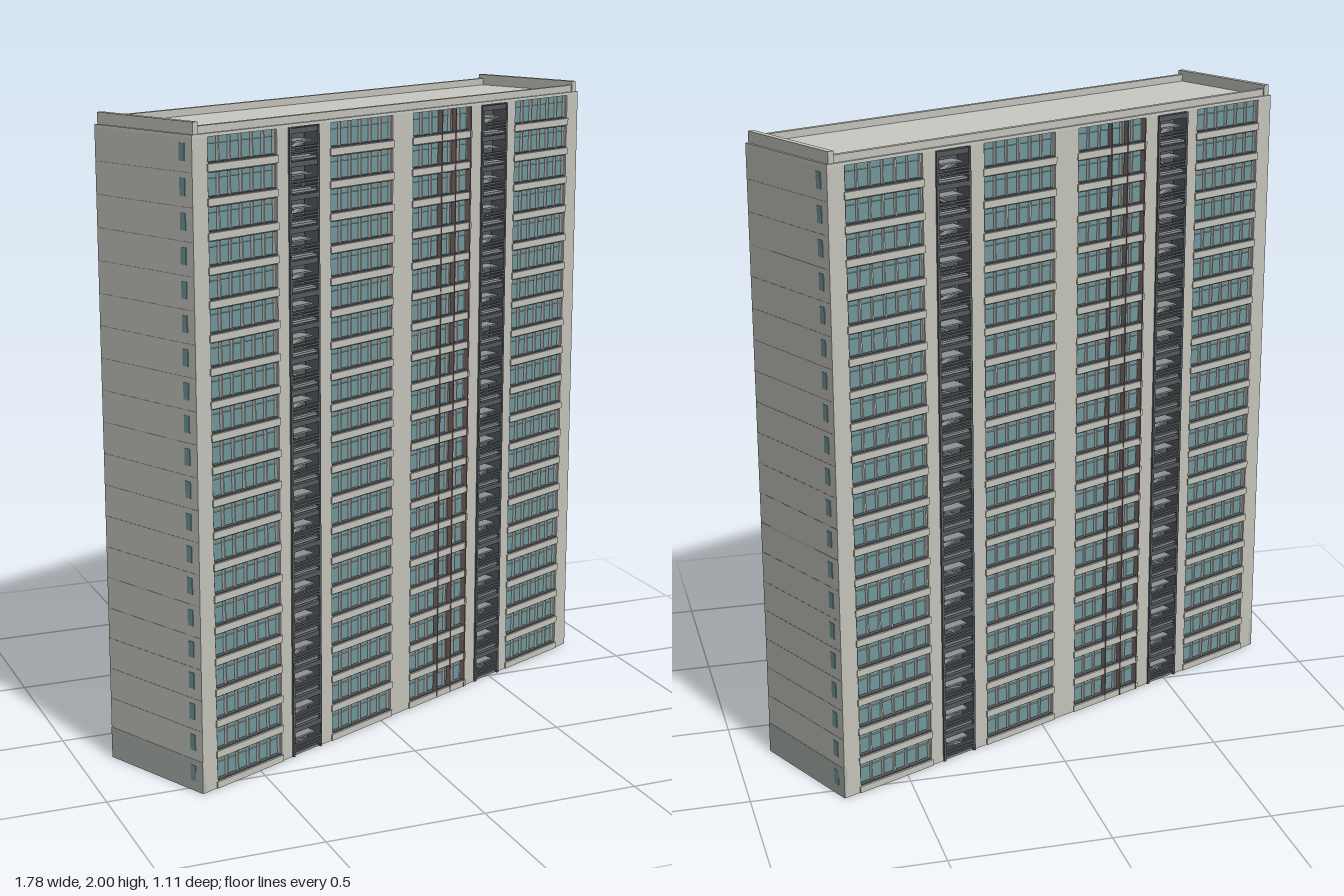
import * as THREE from 'three';
import { mergeGeometries } from 'three/addons/utils/BufferGeometryUtils.js';

const L = 0.884, D = 0.206, TOP = 1.965, FLOORS = 20, PITCH = 0.0978;

const mat = (name, color) => {
  const m = new THREE.MeshStandardMaterial({ color });
  m.name = name;
  return m;
};

// Box given by its lower and upper limits on each axis
function block(x0, x1, y0, y1, z0, z1) {
  return new THREE.BoxGeometry(x1 - x0, y1 - y0, z1 - z0)
    .translate((x0 + x1) / 2, (y0 + y1) / 2, (z0 + z1) / 2);
}

export function createModel() {
  const concrete = mat('concrete', 0xc3c3bb);
  const roofGrey = mat('roof grey', 0xc8c9c3);
  const plinthGrey = mat('plinth grey', 0xaab0ac);
  const glass = mat('blue green glass', 0x71969a);
  const charcoal = mat('charcoal', 0x54595d);
  const midGrey = mat('stair grey', 0x8f9293);
  const frameWhite = mat('window frame', 0xc9d0ce);
  const brown = mat('brown pipe', 0x7c6a66);

  const model = new THREE.Group();
  model.name = 'towerBlock';
  const building = new THREE.Group();
  building.name = 'building';
  building.rotation.y = Math.atan2(0.74, 1.61);
  model.add(building);

  const add = (parent, name, parts, material) => {
    const mesh = new THREE.Mesh(mergeGeometries(parts), material);
    mesh.name = name;
    parent.add(mesh);
  };

  // Core and roof
  add(building, 'core', [block(-L + 0.01, L - 0.01, 0, TOP - 0.01, -D + 0.055, D - 0.055)], charcoal);
  add(building, 'roof', [block(-L, L, TOP - 0.01, TOP, -D, D)], roofGrey);

  // Parapet: low along the sides, raised at both ends
  const rim = [];
  for (const s of [-1, 1]) {
    rim.push(block(-L + 0.01, L - 0.01, TOP, 1.987, s * (D - 0.016) - 0.008, s * (D - 0.016) + 0.008));
    rim.push(block(s * (L - 0.018) - 0.01, s * (L - 0.018) + 0.01, TOP, 2, -D + 0.004, D - 0.004));
  }
  add(building, 'parapet', rim, concrete);

  const glassBays = [[-0.824, -0.55], [-0.323, -0.047], [0.047, 0.325], [0.55, 0.826]];
  const stairBays = [[-0.504, -0.377], [0.377, 0.504]];

  // One half of the building: a long facade and one end wall, repeated by a half turn
  function half(name, turn) {
    const g = new THREE.Group();
    g.name = name;
    g.rotation.y = turn;
    building.add(g);

    // Piers between the bays
    const edges = [-L, -0.824, -0.55, -0.504, -0.377, -0.323, -0.047, 0.047, 0.325, 0.377, 0.504, 0.55, 0.826, L];
    const piers = [];
    for (let i = 0; i < edges.length; i += 2)
      piers.push(block(edges[i], edges[i + 1], 0, TOP - 0.01, D - 0.056, D));
    add(g, 'piers', piers, concrete);

    // Glazed bays with frames and spandrel bands
    const panes = [], frames = [], bands = [], sills = [];
    for (const [a, b] of glassBays) {
      panes.push(block(a, b, 0, TOP - 0.01, D - 0.056, D - 0.016));
      for (let i = 0; i <= 6; i++) {
        const x = a + 0.003 + (b - a - 0.006) * i / 6;
        frames.push(block(x - 0.002, x + 0.002, 0, TOP - 0.01, D - 0.016, D - 0.005));
      }
      for (let f = 0; f < FLOORS; f++) {
        const y = 0.01 + f * PITCH;
        bands.push(block(a - 0.004, b + 0.004, Math.max(0, y - 0.011), y + 0.011, D - 0.02, D + 0.004));
        sills.push(block(a, b, y + 0.011, y + 0.015, D - 0.018, D - 0.002));
        if (f) sills.push(block(a, b, y - 0.015, y - 0.011, D - 0.018, D - 0.002));
        frames.push(block(a, b, y + 0.064, y + 0.066, D - 0.016, D - 0.012));
      }
    }
    add(g, 'glazing', panes, glass);
    add(g, 'windowFrames', frames, frameWhite);
    add(g, 'spandrels', bands, concrete);
    add(g, 'sills', sills, charcoal);

    // Downpipes on the third bay
    add(g, 'downpipes', [0.18, 0.247, 0.32].map(x =>
      block(x - 0.002, x + 0.002, 0, TOP - 0.01, D - 0.012, D + 0.006)), brown);

    // Open stair bays: landings, sloping flights, dark rails and posts
    const rails = [], slabs = [];
    for (const [a, b] of stairBays) {
      const m = (a + b) / 2;
      for (const x of [a + 0.004, b - 0.004])
        rails.push(block(x - 0.004, x + 0.004, 0, TOP - 0.01, D - 0.05, D + 0.006));
      for (let f = 0; f < FLOORS; f++) {
        const y = f * PITCH;
        slabs.push(block(a + 0.006, b - 0.006, y, y + 0.007, D - 0.055, D - 0.002));
        slabs.push(block(a + 0.022, b - 0.022, y + 0.05, y + 0.055, D - 0.055, D - 0.006));
        const flight = new THREE.BoxGeometry(0.1, 0.006, 0.022);
        flight.rotateZ(f % 2 ? 0.42 : -0.42).translate(m, y + 0.03, D - 0.042);
        slabs.push(flight);
        for (const h of [0.014, 0.024, 0.034])
          rails.push(block(a, b, y + h, y + h + 0.006, D - 0.003, D + 0.006));
        rails.push(block(a, b, y + 0.078, y + 0.094, D - 0.01, D + 0.005));
      }
    }
    add(g, 'stairRails', rails, charcoal);
    add(g, 'stairs', slabs, midGrey);

    // End wall with its plinth, window strip and panel joints
    add(g, 'endWall', [block(L - 0.012, L, 0.1, TOP - 0.01, -D, D)], concrete);
    add(g, 'endPlinth', [block(L - 0.012, L + 0.001, 0, 0.1, -D, D)], plinthGrey);
    const windows = [], joints = [];
    for (let f = 0; f < FLOORS; f++) {
      const y = f * PITCH;
      windows.push(block(L - 0.002, L + 0.002, y + 0.032, y + 0.082, -0.176, -0.154));
      if (f > 1) joints.push(block(L - 0.002, L + 0.0006, y, y + 0.0015, -D + 0.002, D - 0.002));
    }
    add(g, 'endWindows', windows, glass);
    add(g, 'panelJoints', joints, midGrey);
  }
  half('frontHalf', 0);
  half('backHalf', Math.PI);

  return model;
}
